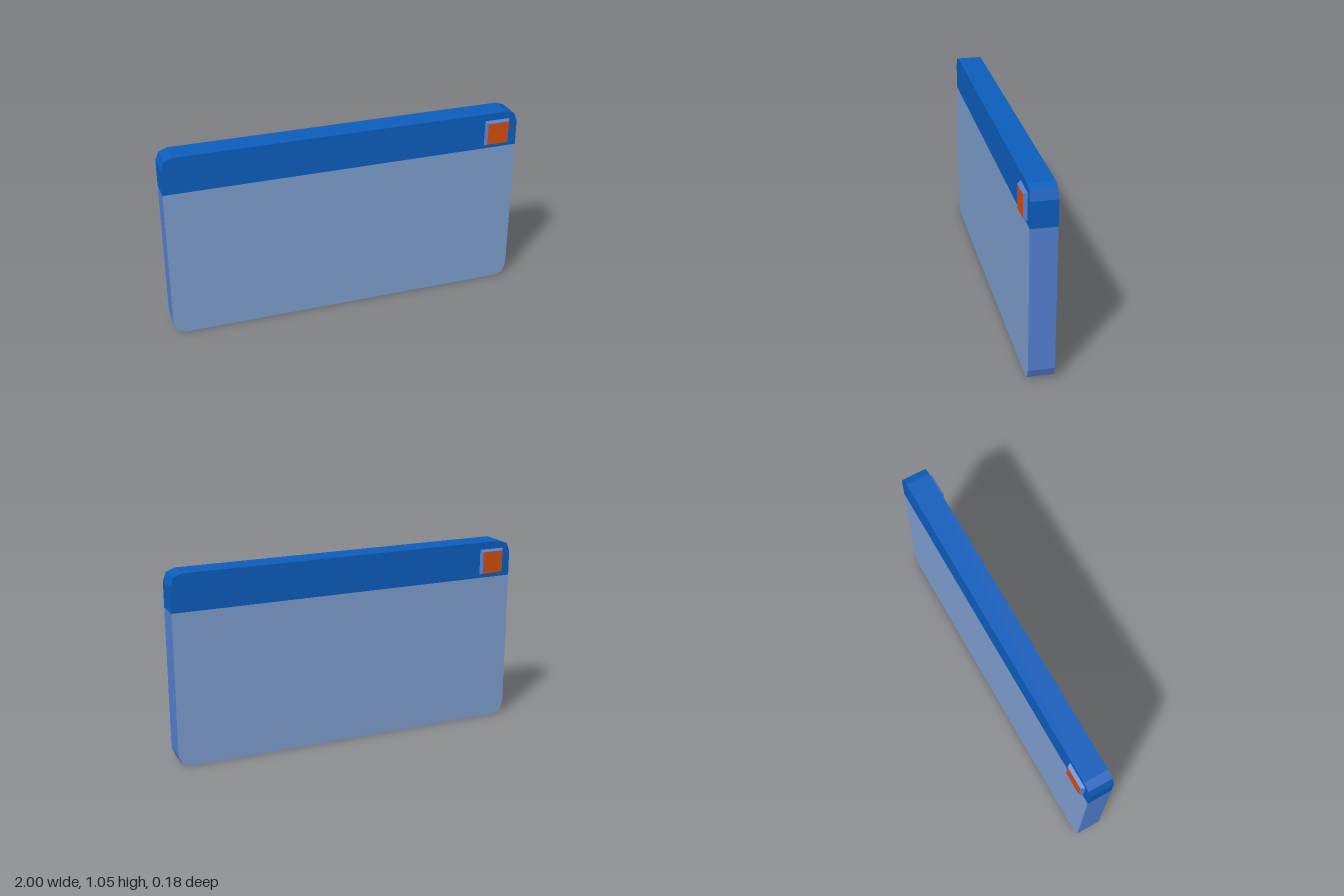
import * as THREE from 'three';

const material = (name, color) => {
  const m = new THREE.MeshStandardMaterial({ color });
  m.name = name;
  return m;
};

export function createModel() {
  const faceBlue = material('pale blue face', 0x7c9ccd);
  const edgeBlue = material('blue edge', 0x537ed0);
  const bandBlue = material('deep blue band', 0x0c5dbb);
  const orange = material('orange', 0xd04c0e);

  const HEIGHT = 1.055, SPLIT = 0.85, DEPTH = 0.138;
  const model = new THREE.Group();
  model.name = 'panel';

  // Extrude a mirrored right-hand outline, listed from bottom to top
  const slab = (name, right, materials) => {
    const left = right.map(([x, y]) => [-x, y]).reverse();
    const shape = new THREE.Shape([...right, ...left].map(([x, y]) => new THREE.Vector2(x, y)));
    const geometry = new THREE.ExtrudeGeometry(shape, { depth: DEPTH, bevelEnabled: false });
    geometry.translate(0, 0, -DEPTH / 2);
    const mesh = new THREE.Mesh(geometry, materials);
    mesh.name = name;
    model.add(mesh);
  };

  // Two-step chamfered corner
  const corner = [[0.935, 0], [0.981, 0.017], [1, 0.065]];
  slab('lowerBody', [...corner, [1, SPLIT]], [faceBlue, edgeBlue]);
  slab('topBand', [[1, SPLIT], ...corner.map(([x, y]) => [x, HEIGHT - y]).reverse()], bandBlue);

  // Bevelled square button, one on each face
  const buttonHeight = 0.02;
  let button = new THREE.CylinderGeometry(0.124 / Math.SQRT2, 0.146 / Math.SQRT2, buttonHeight, 4);
  button.rotateY(Math.PI / 4).rotateX(Math.PI / 2);
  button = button.toNonIndexed();
  button.computeVertexNormals();
  button.translate(0.88, 0.941, DEPTH / 2 + buttonHeight / 2);
  ['frontButton', 'backButton'].forEach((name, i) => {
    const mesh = new THREE.Mesh(button, [edgeBlue, orange, edgeBlue]);
    mesh.name = name;
    mesh.rotation.y = i * Math.PI;
    model.add(mesh);
  });

  return model;
}
